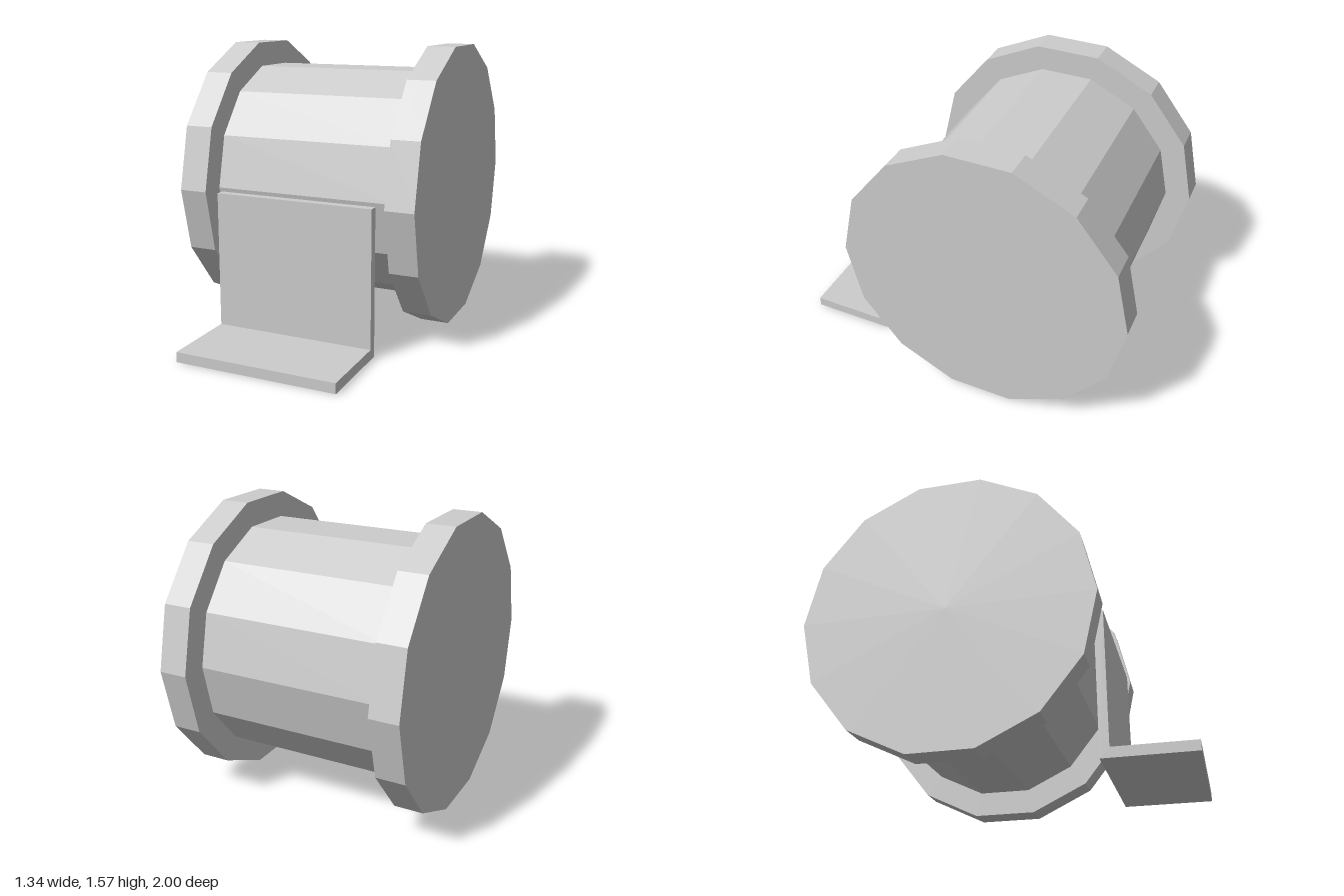
import * as THREE from 'three';

const SIDES = 14;
const AXIS_Y = 0.795, AXIS_Z = -0.21;

export function createModel() {
  const model = new THREE.Group();
  model.name = 'drumWithBracket';

  const lightGrey = new THREE.MeshStandardMaterial({ color: 0xcccccc });
  lightGrey.name = 'lightGrey';
  lightGrey.flatShading = true;

  function add(name, geometry, x = 0, y = 0, z = 0) {
    const mesh = new THREE.Mesh(geometry, lightGrey);
    mesh.name = name;
    mesh.position.set(x, y, z);
    model.add(mesh);
  }

  // Faceted cylinder lying along x, with a corner pointing to the front
  function roller(radius, length, open) {
    return new THREE.CylinderGeometry(radius, radius, length, SIDES, 1, open).rotateZ(Math.PI / 2);
  }

  // Drum between two wider flanges
  add('drum', roller(0.65, 1.03, true), 0, AXIS_Y, AXIS_Z);
  for (const [name, side] of [['leftFlange', 1], ['rightFlange', -1]]) {
    add(name, roller(0.79, 0.157, false), side * 0.5925, AXIS_Y, AXIS_Z);
  }

  // L-shaped bracket: profile drawn as (z, y), extruded across the width
  const profile = new THREE.Shape([
    [0.52, 0], [1, 0], [1, 0.055], [0.57, 0.055], [0.57, 0.795], [0.52, 0.795],
  ].map(([z, y]) => new THREE.Vector2(z, y)));
  const bracket = new THREE.ExtrudeGeometry(profile, { depth: 0.89, bevelEnabled: false });
  bracket.translate(0, 0, -0.445).rotateY(-Math.PI / 2);
  add('bracket', bracket);

  return model;
}
